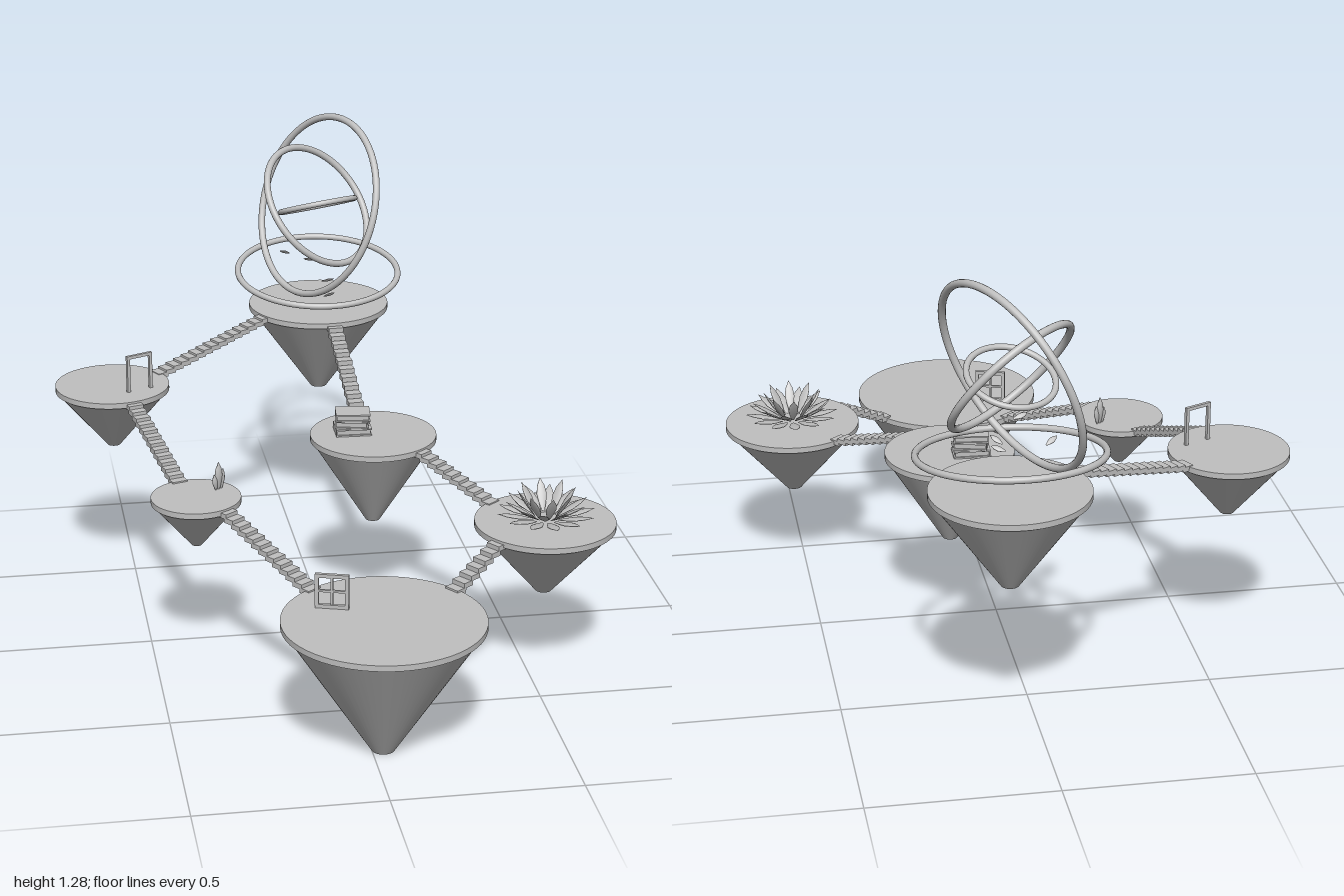
import * as THREE from 'three';

const stone = new THREE.MeshStandardMaterial({ color: 0xbfbfbf });
stone.name = 'pale grey';

function add(parent, name, geometry, x = 0, y = 0, z = 0) {
  const mesh = new THREE.Mesh(geometry, stone);
  mesh.name = name;
  mesh.position.set(x, y, z);
  parent.add(mesh);
  return mesh;
}

function addGroup(parent, name, x, y, z, turn = 0) {
  const group = new THREE.Group();
  group.name = name;
  group.position.set(x, y, z);
  group.rotation.y = turn;
  parent.add(group);
  return group;
}

const box = (w, h, d) => new THREE.BoxGeometry(w, h, d);

// Pointed leaf growing along +y, flattened in z
function leafGeometry(length, width, thickness) {
  const profile = [[0.25, 0], [0.7, 0.25], [1, 0.5], [0.75, 0.75], [0, 1]]
    .map(([r, t]) => new THREE.Vector2(r * width / 2, t * length));
  profile.unshift(new THREE.Vector2(0, 0));
  return new THREE.LatheGeometry(profile, 10).scale(1, 1, thickness / width);
}

// Islands: centre x, z, radius, top height, tip height
const islands = {
  front: { x: 0.03, z: 0.73, r: 0.265, top: 0.37, tip: 0 },
  flower: { x: 0.53, z: 0.375, r: 0.19, top: 0.46, tip: 0.257 },
  book: { x: 0.145, z: -0.1, r: 0.177, top: 0.548, tip: 0.29 },
  ring: { x: 0.09, z: -0.75, r: 0.207, top: 0.724, tip: 0.46 },
  door: { x: -0.56, z: -0.392, r: 0.162, top: 0.63, tip: 0.447 },
  sprout: { x: -0.385, z: 0.168, r: 0.122, top: 0.503, tip: 0.363 },
};

function addIsland(parent, name, { x, z, r, top, tip }) {
  const island = addGroup(parent, name + 'Island', x, 0, z);
  const rim = 0.016;
  const h = top - rim - tip;
  add(island, 'islandTop', new THREE.CylinderGeometry(r, r, rim, 64), 0, top - rim / 2, 0);
  add(island, 'islandCone', new THREE.CylinderGeometry(r * 0.97, r * 0.115, h, 64), 0, tip + h / 2, 0);
}

// Steps running from the edge of one island to the edge of the next
function addStairs(parent, a, b) {
  const dx = b.x - a.x, dz = b.z - a.z;
  const length = Math.hypot(dx, dz);
  const from = a.r - 0.012, to = length - b.r + 0.012;
  const count = Math.round((to - from) / 0.026);
  const stairs = addGroup(parent, 'stairs', a.x, 0, a.z, Math.atan2(dx, dz));
  for (let i = 0; i < count; i++) {
    const t = (i + 0.5) / count;
    const y = a.top + (b.top - a.top) * t - 0.008;
    add(stairs, 'step', box(0.043, 0.014, 0.033), 0, y, from + (to - from) * t);
  }
}

// Standing frame with open middle
function addFrame(parent, name, w, h, bar) {
  for (const s of [-1, 1]) add(parent, name + 'Post', box(bar, h, bar), s * (w - bar) / 2, h / 2, 0);
  add(parent, name + 'Lintel', box(w, bar, bar), 0, h - bar / 2, 0);
}

// Ring facing along a normal
function addRing(parent, name, radius, tube, normal, y) {
  const ring = add(parent, name, new THREE.TorusGeometry(radius, tube, 14, 96), 0.088, y, -0.747);
  ring.quaternion.setFromUnitVectors(new THREE.Vector3(0, 0, 1), new THREE.Vector3(...normal).normalize());
}

function addBook(parent, w, d, h, y, turn) {
  const book = addGroup(parent, 'book', 0, y, 0, turn);
  const cover = 0.004;
  add(book, 'lowerCover', box(w, cover, d), 0, cover / 2, 0);
  add(book, 'upperCover', box(w, cover, d), 0, h - cover / 2, 0);
  add(book, 'pages', box(w - 0.008, h - 2 * cover, d - 0.01), 0, h / 2, 0);
  add(book, 'spine', box(cover, h, d), -w / 2 + cover / 2, h / 2, 0);
}

export function createModel() {
  const model = new THREE.Group();
  model.name = 'floatingIslands';

  for (const [name, island] of Object.entries(islands)) addIsland(model, name, island);
  const loop = ['front', 'flower', 'book', 'ring', 'door', 'sprout'];
  loop.forEach((name, i) => addStairs(model, islands[name], islands[loop[(i + 1) % loop.length]]));

  // Window with four panes
  const windowFrame = addGroup(model, 'window', -0.09, 0.37, 0.642, -0.31);
  addFrame(windowFrame, 'window', 0.088, 0.095, 0.01);
  add(windowFrame, 'windowSill', box(0.088, 0.01, 0.01), 0, 0.005, 0);
  add(windowFrame, 'windowMullion', box(0.006, 0.09, 0.007), 0, 0.0475, 0);
  add(windowFrame, 'windowTransom', box(0.084, 0.006, 0.007), 0, 0.0475, 0);

  // Open doorway
  addFrame(addGroup(model, 'doorway', -0.487, 0.63, -0.333, 0.42), 'doorway', 0.08, 0.107, 0.009);

  // Stacked books
  const books = addGroup(model, 'bookStack', 0.09, 0.548, -0.122, -0.13);
  addBook(books, 0.1, 0.074, 0.021, 0, 0.1);
  addBook(books, 0.092, 0.07, 0.021, 0.021, -0.12);
  addBook(books, 0.096, 0.072, 0.021, 0.042, 0.02);

  // Upright sprout
  const sprout = addGroup(model, 'sprout', -0.318, 0.5, 0.124, 0.6);
  [[0.082, 0.026, 0, 0], [0.06, 0.018, 0.009, -0.12], [0.05, 0.018, -0.009, 0.15]].forEach(([h, w, x, lean]) => {
    add(sprout, 'sproutLeaf', leafGeometry(h, w, w * 0.6), x, 0, 0).rotation.z = lean;
  });

  // Flower: layers of petals, each [count, length, width, start radius, upward tilt]
  const flower = addGroup(model, 'flower', 0.53, 0.464, 0.38);
  [[12, 0.1, 0.032, 0.035, 0.2], [10, 0.095, 0.031, 0.03, 0.55], [8, 0.092, 0.029, 0.03, 1.0]]
    .forEach(([count, length, width, start, tilt], layer) => {
      for (let i = 0; i < count; i++) {
        const holder = addGroup(flower, 'petalHolder', 0, 0, 0, ((i + layer * 0.5) / count) * Math.PI * 2);
        add(holder, 'petal', leafGeometry(length, width, 0.007), 0, 0.004 + layer * 0.004, start)
          .rotation.x = Math.PI / 2 - tilt;
      }
    });

  // Nested rings
  addRing(model, 'baseRing', 0.238, 0.009, [0, 0.99, 0.14], 0.822);
  addRing(model, 'outerRing', 0.264, 0.01, [0.843, -0.327, -0.428], 1.025);
  addRing(model, 'middleRing', 0.19, 0.01, [0.55, 0.6, 0.575], 1.025);
  addRing(model, 'innerRing', 0.112, 0.008, [-0.14, 0.93, -0.33], 1.025);

  // Small drifting leaves
  [[-0.005, 0.87, -0.795, 0.9], [0.11, 0.81, -0.69, -1.1], [0.1, 0.795, -0.6, -0.8], [0.05, 0.885, -0.667, 1.2]]
    .forEach(([x, y, z, lean]) => {
      const leaf = add(model, 'driftingLeaf', leafGeometry(0.04, 0.016, 0.006).translate(0, -0.02, 0), x, y, z);
      leaf.rotation.set(0.9, 0, lean);
    });

  return model;
}
